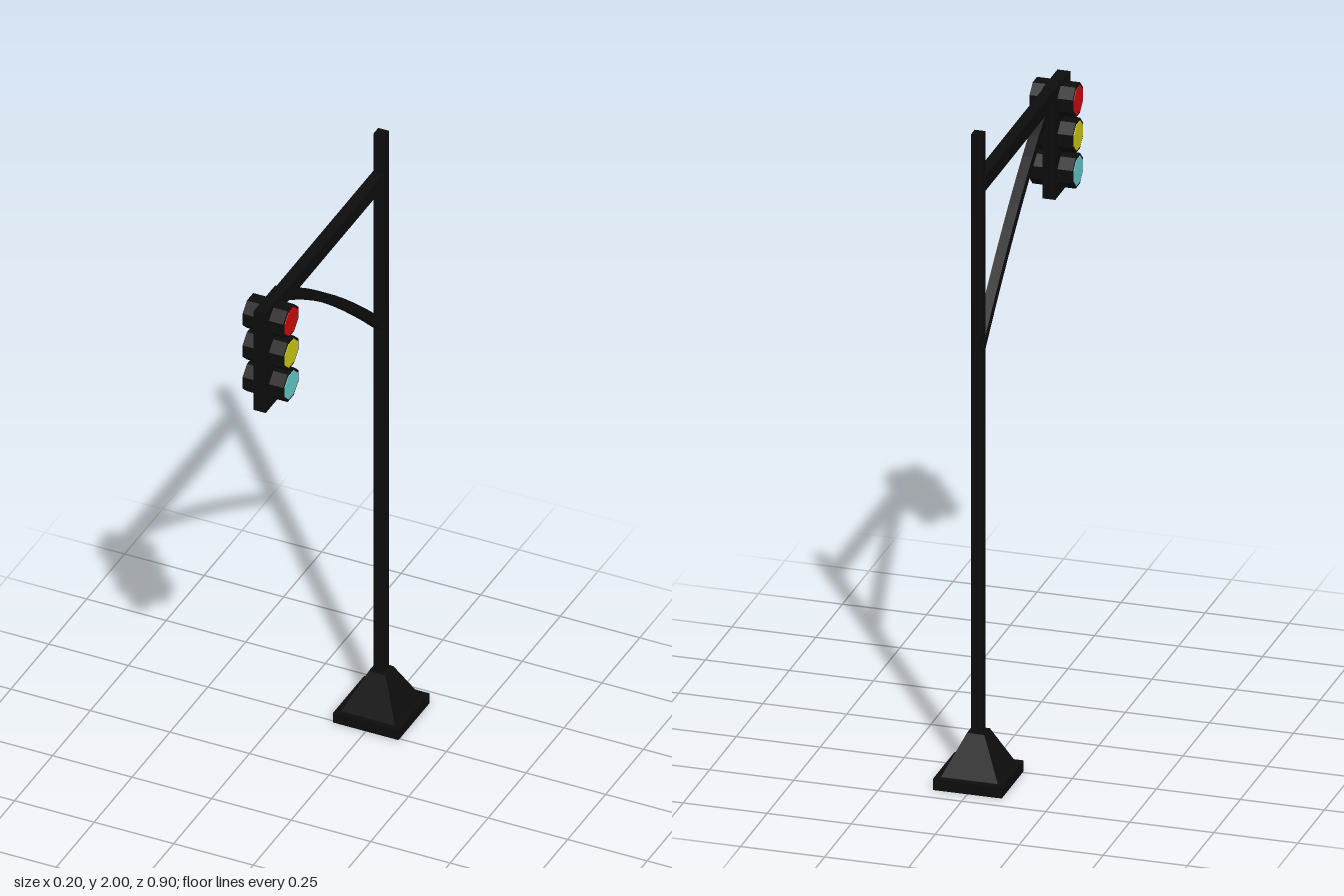
import * as THREE from 'three';

export function createModel() {
  const group = new THREE.Group();
  const paint = (name, color) => {
    const m = new THREE.MeshStandardMaterial({ color, flatShading: true });
    m.name = name;
    return m;
  };
  const black = paint('black metal', 0x0d0d0d);
  const lights = [
    paint('red lens', 0xd20d0d),
    paint('yellow lens', 0xd2cf14),
    paint('cyan lens', 0x68cfcf),
  ];

  const add = (name, geometry, material, x, y, z) => {
    const mesh = new THREE.Mesh(geometry, material);
    mesh.name = name;
    mesh.position.set(x, y, z);
    group.add(mesh);
    return mesh;
  };
  const box = (name, w, h, d, x, y, z) =>
    add(name, new THREE.BoxGeometry(w, h, d), black, x, y, z);

  const poleZ = -0.343;
  const headZ = 0.378;
  const headX = -0.004;

  // Foot: square slab with a tapered block on it
  box('baseSlab', 0.205, 0.034, 0.205, 0, 0.017, poleZ - 0.002);
  const taper = new THREE.CylinderGeometry(0.026 * Math.SQRT2, 0.085 * Math.SQRT2, 0.121, 4);
  taper.rotateY(Math.PI / 4);
  add('baseTaper', taper, black, 0, 0.0935, poleZ);

  // Square pole and horizontal arm
  box('pole', 0.033, 1.98, 0.033, 0, 1.01, poleZ);
  box('arm', 0.034, 0.046, 0.67, -0.003, 1.844, -0.01);

  // Curved brace: a bowed strip in the side plane, extruded across x
  const curve = new THREE.QuadraticBezierCurve(
    new THREE.Vector2(0.29, 1.835),
    new THREE.Vector2(0.02, 1.687),
    new THREE.Vector2(-0.345, 1.335)
  );
  const edge = (offset) =>
    Array.from({ length: 11 }, (_, i) => {
      const p = curve.getPoint(i / 10);
      const t = curve.getTangent(i / 10);
      return new THREE.Vector2(p.x - t.y * offset, p.y + t.x * offset);
    });
  const strip = new THREE.Shape([...edge(0.0145), ...edge(-0.0145).reverse()]);
  const brace = new THREE.ExtrudeGeometry(strip, { depth: 0.03, bevelEnabled: false });
  brace.rotateY(-Math.PI / 2); // shape x becomes z, depth runs towards -x
  add('brace', brace, black, 0.013, 0, 0);

  // Signal head: back plate with three octagonal lamp barrels
  box('signalPlate', 0.038, 0.34, 0.142, headX, 1.699, headZ);
  const octagon = (acrossFlats, length) => {
    const g = new THREE.CylinderGeometry(
      acrossFlats / 2 / Math.cos(Math.PI / 8), acrossFlats / 2 / Math.cos(Math.PI / 8),
      length, 8, 1, false, Math.PI / 8);
    g.rotateZ(Math.PI / 2);
    return g.scale(1, 0.94, 1);
  };
  const barrel = octagon(0.1, 0.128);
  const lens = octagon(0.084, 0.004);
  const names = ['red', 'yellow', 'cyan'];
  lights.forEach((material, i) => {
    const y = 1.814 - i * 0.109;
    add(names[i] + 'Barrel', barrel, black, headX, y, headZ);
    // A lens on each end
    for (const side of [-1, 1]) {
      add(names[i] + (side > 0 ? 'LensLeft' : 'LensRight'), lens, material,
        headX + side * 0.064, y, headZ);
    }
  });

  return group;
}
